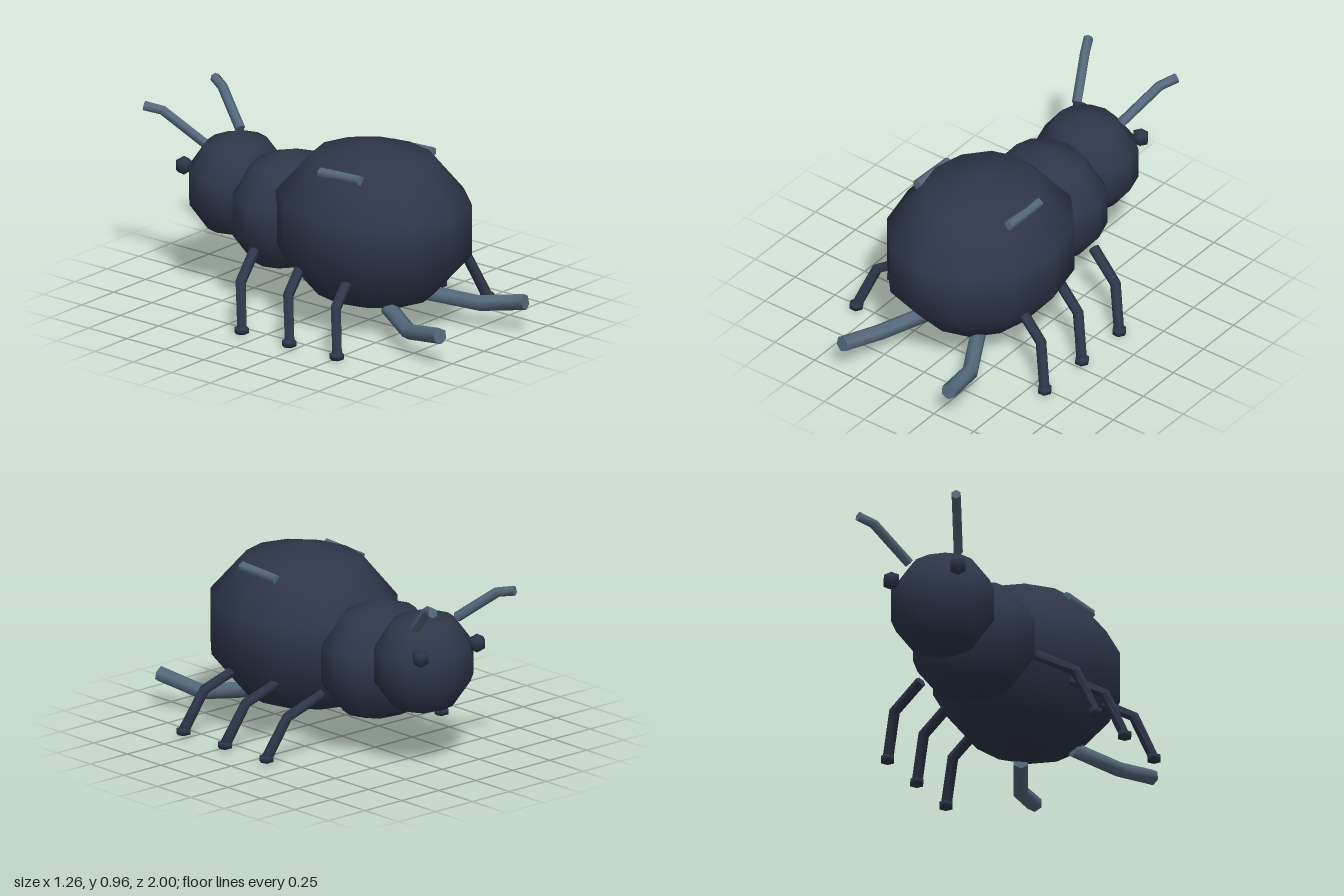
import * as THREE from 'three';
import { toCreasedNormals } from 'three/addons/utils/BufferGeometryUtils.js';

const shell = new THREE.MeshStandardMaterial({ name: 'dark shell', color: 0x2e3649 });
const horn = new THREE.MeshStandardMaterial({ name: 'slate horn', color: 0x546a7c });

const v = (p) => new THREE.Vector3(...p);

// Low-poly ellipsoid with smooth normals
function ball(name, pos, radii, across, down, material) {
  const geo = new THREE.SphereGeometry(1, across, down);
  geo.scale(...radii);
  const mesh = new THREE.Mesh(geo, material);
  mesh.name = name;
  mesh.position.set(...pos);
  return mesh;
}

// Capped six-sided limb: a cylinder whose rings are moved onto the path points
function limb(name, path, radius, material) {
  const pts = path.map(v), n = pts.length - 1;
  const geo = new THREE.CylinderGeometry(radius, radius, n, 6, n);
  const pos = geo.attributes.position;
  const frames = pts.map((p, i) => {
    const dir = pts[Math.min(i + 1, n)].clone().sub(pts[Math.max(i - 1, 0)]).normalize();
    const side = new THREE.Vector3(0, 1, 0).cross(dir).normalize();
    return { p, side, up: side.clone().cross(dir) };
  });
  for (let i = 0; i < pos.count; i++) {
    const f = frames[Math.round(pos.getY(i) + n / 2)];
    const q = f.p.clone().addScaledVector(f.side, pos.getX(i)).addScaledVector(f.up, -pos.getZ(i));
    pos.setXYZ(i, q.x, q.y, q.z);
  }
  orientOutward(geo, pts);
  const mesh = new THREE.Mesh(toCreasedNormals(geo, 1.1), material);
  mesh.name = name;
  return mesh;
}

// Flip the faces if the moved rings turned the tube inside out
function orientOutward(geo, pts) {
  const pos = geo.attributes.position, idx = geo.index;
  const c = pts[0];
  let volume = 0;
  const [a, b, d] = [0, 0, 0].map(() => new THREE.Vector3());
  for (let i = 0; i < idx.count; i += 3) {
    a.fromBufferAttribute(pos, idx.getX(i)).sub(c);
    b.fromBufferAttribute(pos, idx.getX(i + 1)).sub(c);
    d.fromBufferAttribute(pos, idx.getX(i + 2)).sub(c);
    volume += a.dot(b.cross(d));
  }
  if (volume < 0) {
    for (let i = 0; i < idx.count; i += 3) {
      const t = idx.getX(i);
      idx.setX(i, idx.getX(i + 1));
      idx.setX(i + 1, t);
    }
  }
}

export function createModel() {
  const model = new THREE.Group();
  model.name = 'beetle';

  // Body: three overlapping ellipsoids, head towards -z
  model.add(
    ball('abdomen', [0, 0.527, 0.28], [0.478, 0.438, 0.547], 12, 5, shell),
    ball('thorax', [0, 0.475, -0.28], [0.336, 0.315, 0.273], 12, 5, shell),
    ball('head', [0, 0.54, -0.61], [0.28, 0.275, 0.247], 12, 5, shell),
  );

  for (const [side, s] of [['left', 1], ['right', -1]]) {
    const mirror = (path) => path.map(([x, y, z]) => [x * s, y, z]);

    // Eye, antenna, rear spike and the ridge poking out of the back
    model.add(
      ball(side + 'Eye', [0.19 * s, 0.64, -0.8], [0.05, 0.05, 0.045], 6, 3, shell),
      limb(side + 'Antenna', mirror([[0.14, 0.765, -0.705], [0.235, 0.922, -0.9], [0.278, 0.94, -0.985]]), 0.026, horn),
      limb(side + 'RearSpike', mirror([[0.15, 0.165, 0.5], [0.28, 0.125, 0.74], [0.335, 0.172, 0.99]]), 0.042, horn),
      limb(side + 'BackRidge', mirror([[0.285, 0.845, 0.17], [0.285, 0.857, 0.43]]), 0.027, horn),
    );

    // Three equally spaced legs with a foot each
    ['front', 'middle', 'rear'].forEach((row, i) => {
      const z = i * 0.31;
      const leg = new THREE.Group();
      leg.name = side + row[0].toUpperCase() + row.slice(1) + 'Leg';
      leg.add(
        limb('shank', mirror([[0.33, 0.35, -0.225 + z], [0.515, 0.25, -0.16 + z], [0.59, 0.035, -0.09 + z]]), 0.028, shell),
        ball('foot', [0.592 * s, 0.031, -0.09 + z], [0.043, 0.027, 0.043], 6, 3, shell),
      );
      model.add(leg);
    });
  }
  return model;
}
